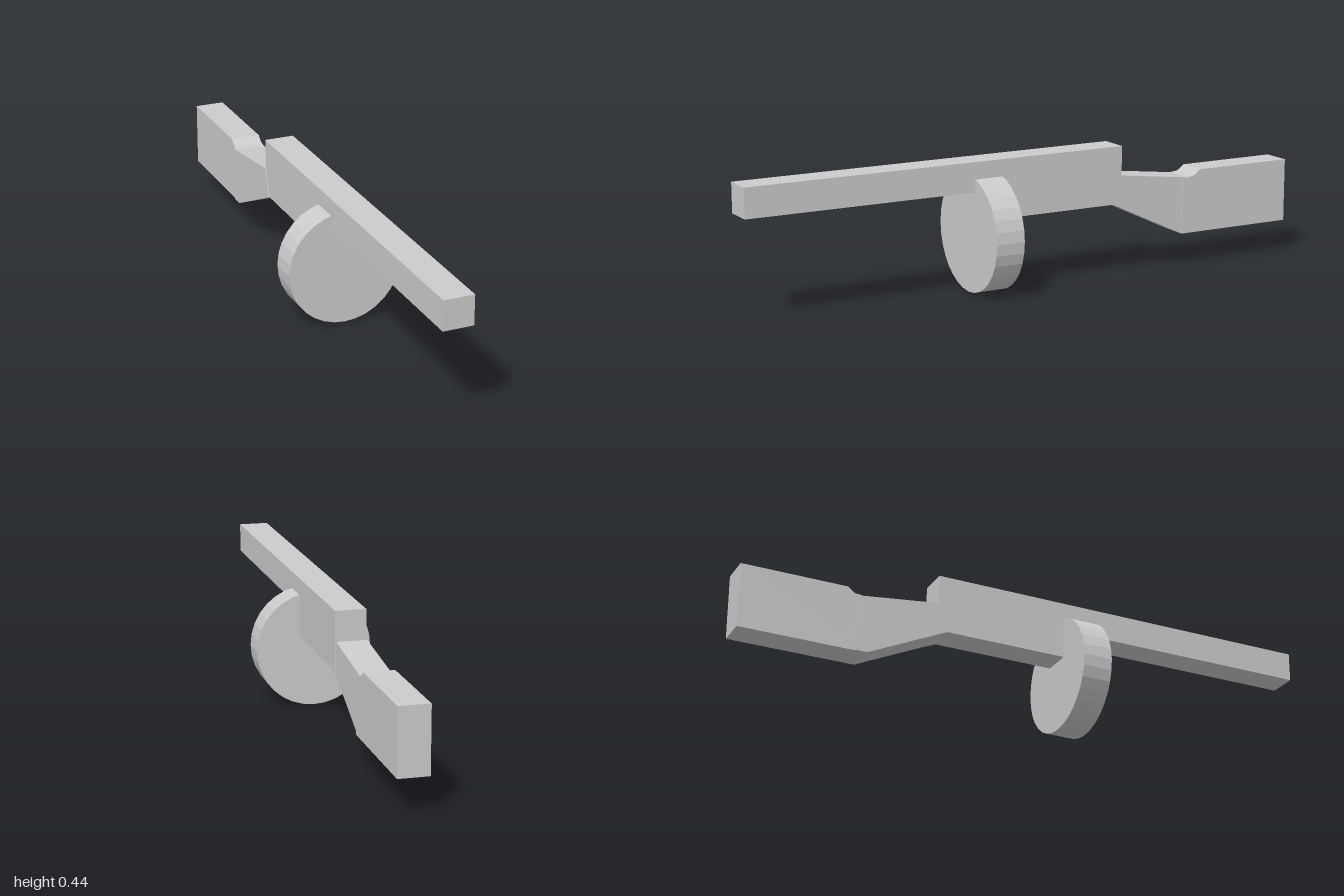
import * as THREE from 'three';

const WIDTH = 0.1;

export function createModel() {
  const group = new THREE.Group();
  const material = new THREE.MeshStandardMaterial({ color: 0xcccccc, flatShading: true });

  const add = (name, geometry, x = 0, y = 0, z = 0) => {
    const mesh = new THREE.Mesh(geometry, material);
    mesh.name = name;
    mesh.position.set(x, y, z);
    group.add(mesh);
  };

  // Side outline as [z, y] pairs, extruded across x
  const slab = (points) => {
    const shape = new THREE.Shape(points.map(([z, y]) => new THREE.Vector2(z, y)));
    return new THREE.ExtrudeGeometry(shape, { depth: WIDTH, bevelEnabled: false })
      .translate(0, 0, -WIDTH / 2)
      .rotateY(-Math.PI / 2);
  };

  // Long square bar on top
  add('barrel', new THREE.BoxGeometry(WIDTH, 0.098, 1.333), 0, 0.386, 0.3335);

  // Block under the rear of the bar
  add('receiver', slab([[0.13, 0.24], [0.13, 0.34], [-0.33, 0.337], [-0.33, 0.226], [-0.3, 0.24]]));

  // Sloping neck, set very slightly to one side
  add('grip', slab([
    [-0.3, 0.24], [-0.33, 0.335], [-0.595, 0.302], [-0.615, 0.305], [-0.615, 0.11], [-0.575, 0.11],
  ]), -0.004);

  // Deep rear block with a small ramp at its front top edge
  add('stock', slab([
    [-0.575, 0.11], [-0.575, 0.3], [-0.615, 0.305], [-0.63, 0.312], [-0.645, 0.325], [-1, 0.325], [-1, 0.11],
  ]));

  // Flat round drum hanging below the bar
  add('drum', new THREE.CylinderGeometry(0.193, 0.193, 0.1, 32).rotateX(Math.PI / 2), 0, 0.193, 0.166);

  return group;
}
